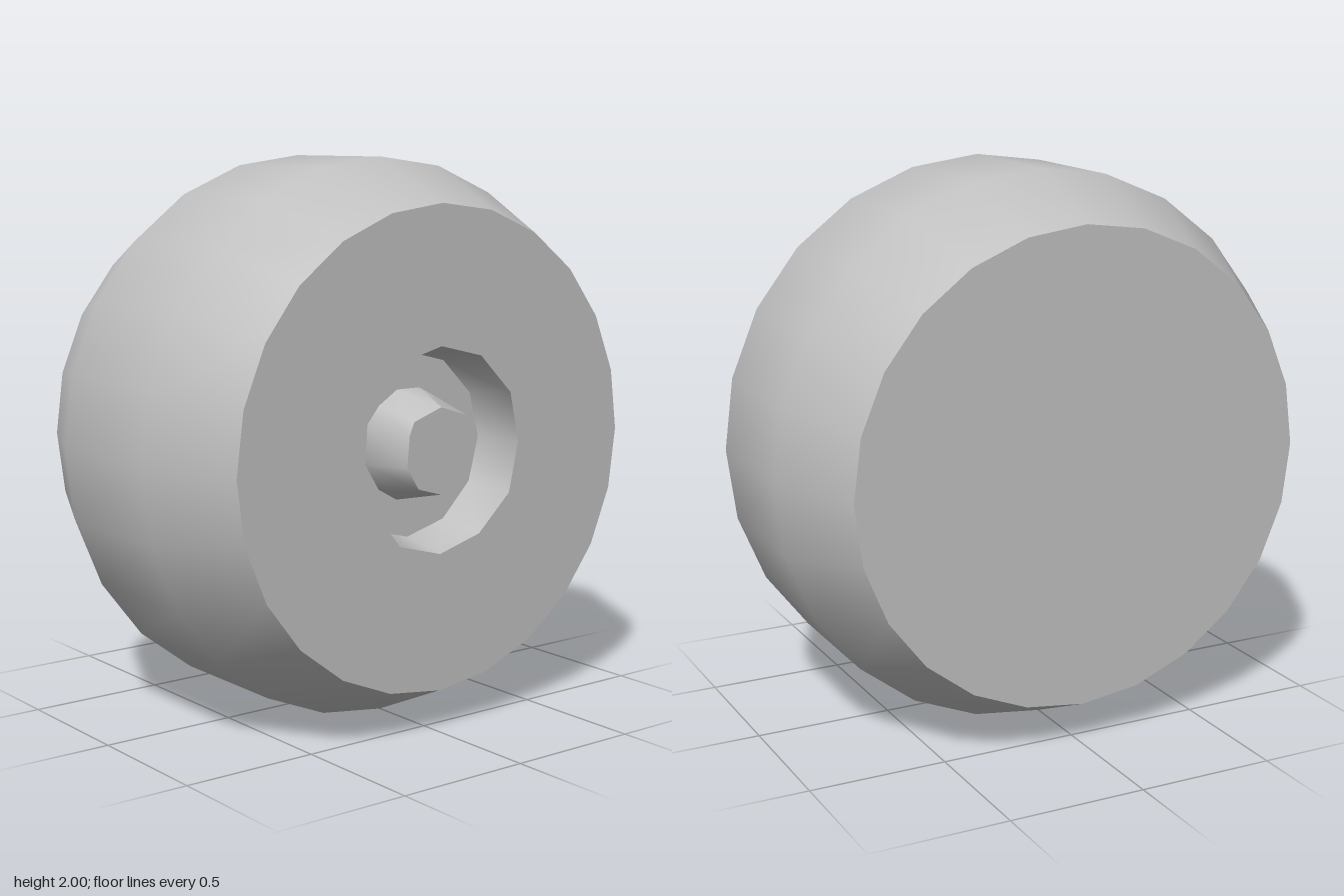
import * as THREE from 'three';

const FACE = 0.58, FLOOR = 0.4;   // positions along the axle

// Outlines seen facing the hub side, clockwise from the top
const rim = [[0, 0.365], [0.18, 0.32], [0.32, 0.18], [0.36, 0], [0.32, -0.18], [0.18, -0.31], [0, -0.36],
  [-0.18, -0.31], [-0.35, -0.1], [-0.355, 0], [-0.355, 0.1], [-0.315, 0.185], [-0.18, 0.32]];
const seat = rim.map(([u, v]) => {
  const k = 0.33 / Math.hypot(u, v);
  return [u * k, v * k];
});
const hubBase = [[-0.05, 0.2], [0.05, 0.2], [0.12, 0.165], [0.18, 0.1], [0.19, -0.05], [0.11, -0.15],
  [-0.05, -0.19], [-0.13, -0.145], [-0.19, -0.05], [-0.18, 0.09], [-0.13, 0.15]];
const hubTip = [[0, 0.155], [0, 0.155], [0.12, 0.115], [0.13, 0.1], [0.15, 0], [0.12, -0.1],
  [0, -0.15], [-0.1, -0.12], [-0.15, -0.04], [-0.14, 0.07], [-0.12, 0.115]];

const toVectors = (ring) => ring.map(([u, v]) => new THREE.Vector2(u, v));

// Flat plate facing +x
function plate(outline, x, hole) {
  const shape = new THREE.Shape(toVectors(outline));
  if (hole) shape.holes.push(new THREE.Path(toVectors(hole)));
  return new THREE.ShapeGeometry(shape).rotateY(Math.PI / 2).translate(x, 0, 0);
}

// Smooth band between two matching rings
function band(a, xa, b, xb) {
  const n = a.length, pos = [], index = [];
  a.forEach(([u, v]) => pos.push(u, v, xa));
  b.forEach(([u, v]) => pos.push(u, v, xb));
  for (let i = 0; i < n; i++) {
    const j = (i + 1) % n;
    index.push(i, j, n + j, i, n + j, n + i);
  }
  const g = new THREE.BufferGeometry();
  g.setAttribute('position', new THREE.Float32BufferAttribute(pos, 3));
  g.setIndex(index);
  g.rotateY(Math.PI / 2);
  g.computeVertexNormals();
  return g;
}

export function createModel() {
  const group = new THREE.Group();
  group.name = 'wheel';
  const grey = new THREE.MeshStandardMaterial({ color: 0xc0c0c0 });
  grey.name = 'plain grey';
  const add = (name, geometry) => {
    const mesh = new THREE.Mesh(geometry, grey);
    mesh.name = name;
    mesh.position.y = 1;
    group.add(mesh);
  };

  // Tread with bevelled shoulders
  const profile = [[0.85, -FACE], [1, -0.25], [1, 0.25], [0.85, FACE]];
  add('tread', new THREE.LatheGeometry(toVectors(profile), 24).rotateZ(-Math.PI / 2));

  // Plain inner side and outer side with a recess
  add('innerSide', new THREE.CircleGeometry(0.85, 24).rotateY(-Math.PI / 2).translate(-FACE, 0, 0));
  const circle = Array.from({ length: 24 }, (_, i) => {
    const a = i * Math.PI / 12;
    return [0.85 * Math.cos(a), 0.85 * Math.sin(a)];
  });
  add('outerSide', plate(circle, FACE, rim));

  // Recess
  add('recessWall', band(seat, FLOOR, rim, FACE));
  add('recessFloor', plate(seat, FLOOR));

  // Tapered hub
  add('hubWall', band(hubTip, FACE, hubBase, FLOOR));
  add('hubCap', plate(hubTip.slice(1), FACE));
  return group;
}
